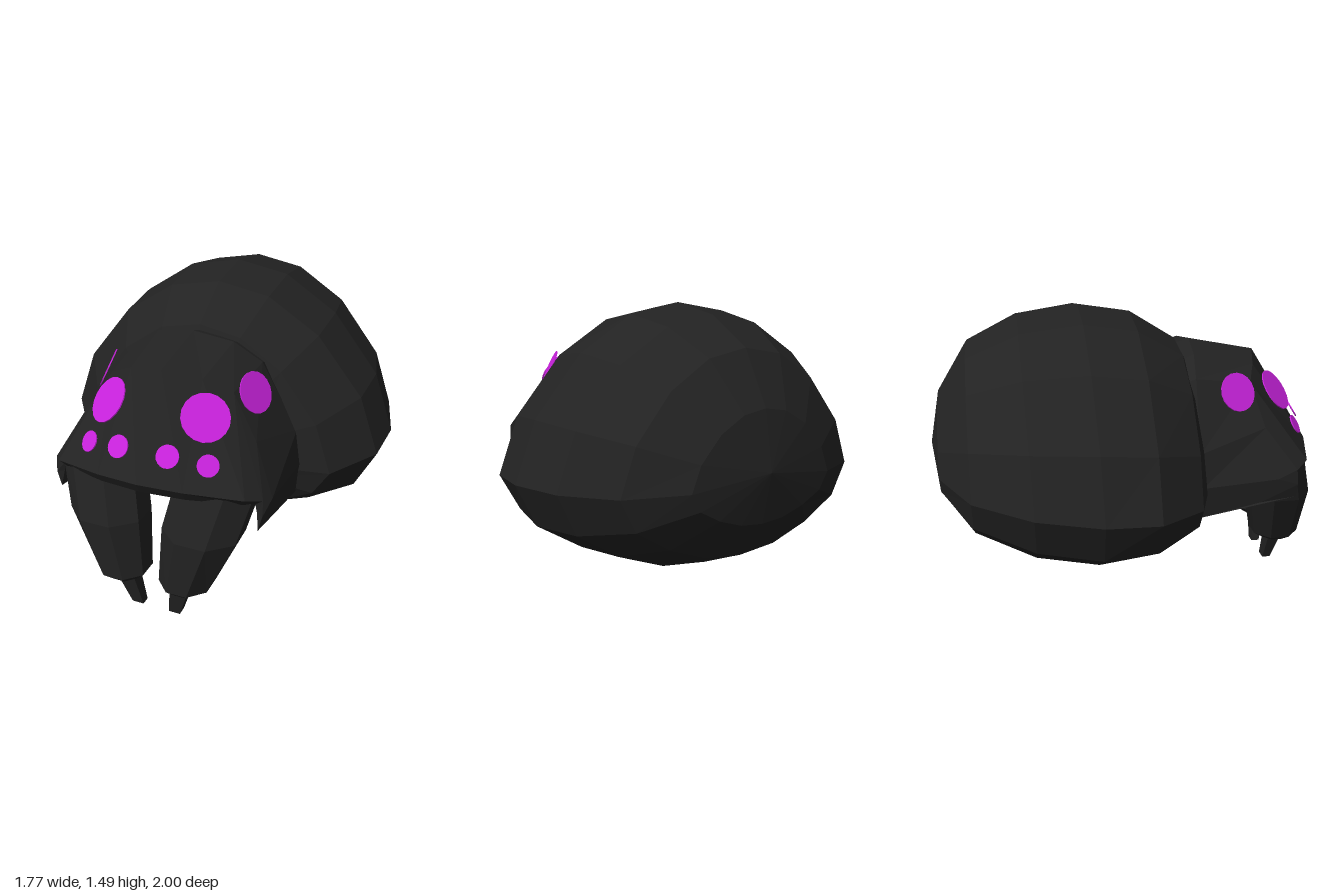
import * as THREE from 'three';

// Faceted skin through a list of equal-length rings of [x, y, z]
function loft(rings, closed) {
  const pos = [], n = rings[0].length;
  for (let i = 0; i < rings.length - 1; i++) {
    for (let j = 0; j < (closed ? n : n - 1); j++) {
      const k = (j + 1) % n;
      const a = rings[i][j], b = rings[i][k], c = rings[i + 1][k], d = rings[i + 1][j];
      pos.push(...a, ...d, ...c, ...a, ...c, ...b);
    }
  }
  const g = new THREE.BufferGeometry();
  g.setAttribute('position', new THREE.Float32BufferAttribute(pos, 3));
  g.computeVertexNormals();
  return g;
}

// Horizontal ring with given sides; row is [y, centre x, radius x, centre z, radius z]
function flatRing([y, cx, rx, cz, rz], sides, side) {
  const k = 1 / Math.cos(Math.PI / sides);
  return Array.from({ length: sides }, (_, j) => {
    const a = (j + 0.5) / sides * Math.PI * 2;
    return [side * cx + rx * k * Math.cos(a), y, cz + rz * k * Math.sin(a)];
  });
}

export function createModel() {
  const model = new THREE.Group();
  const black = new THREE.MeshStandardMaterial({ color: 0x222222 });
  const shell = new THREE.MeshStandardMaterial({ color: 0x222222, side: THREE.DoubleSide });
  black.name = 'black';
  shell.name = 'black shell';
  const magenta = new THREE.MeshStandardMaterial({ color: 0xc822dc });
  magenta.name = 'magenta';
  const add = (geometry, material, name, parent = model) => {
    const m = new THREE.Mesh(geometry, material);
    m.name = name;
    parent.add(m);
    return m;
  };

  // Abdomen: half section as [width, height] fractions, scaled along z
  const half = [[0, 1], [0.305, 0.94], [0.61, 0.73], [0.88, 0.367], [1, 0],
    [0.88, -0.437], [0.61, -0.738], [0.305, -0.94], [0, -1]];
  const section = [...half, ...half.slice(1, -1).reverse().map(([x, y]) => [-x, y])];
  // z at top, z at bottom, half width, top, widest height, bottom
  const stations = [
    [-1, -1, 0, 0.78, 0.78, 0.78],
    [-0.945, -0.945, 0.38, 1.06, 0.725, 0.53],
    [-0.79, -0.79, 0.64, 1.31, 0.70, 0.33],
    [-0.53, -0.49, 0.81, 1.44, 0.675, 0.19],
    [-0.22, -0.18, 0.887, 1.485, 0.655, 0.14],
    [0.05, 0.08, 0.87, 1.44, 0.64, 0.19],
    [0.29, 0.31, 0.69, 1.29, 0.61, 0.32],
    [0.42, 0.42, 0.38, 1.02, 0.65, 0.5],
    [0.46, 0.46, 0, 0.75, 0.75, 0.75],
  ];
  add(loft(stations.map(([zt, zb, w, top, mid, bot]) => section.map(([x, y]) => [
    x * w,
    mid + y * (y > 0 ? top - mid : mid - bot),
    THREE.MathUtils.lerp(zb, zt, (y + 1) / 2),
  ])), true), black, 'abdomen');

  // Head: half arches from centre line to lower edge, rear to brow to lip to underside
  const arches = [
    [[0, 1.24, 0.22], [0.2, 1.2, 0.22], [0.33, 1.12, 0.22], [0.5, 0.83, 0.22], [0.53, 0.66, 0.25], [0.52, 0.5, 0.25]],
    [[0, 1.285, 0.37], [0.2, 1.25, 0.35], [0.34, 1.16, 0.33], [0.52, 0.83, 0.32], [0.55, 0.66, 0.33], [0.53, 0.49, 0.32]],
    [[0, 1.215, 0.72], [0.18, 1.18, 0.67], [0.31, 1.12, 0.62], [0.44, 0.92, 0.67], [0.54, 0.68, 0.72], [0.53, 0.555, 0.64]],
    [[0, 0.78, 0.998], [0.21, 0.77, 0.97], [0.47, 0.745, 0.89], [0.53, 0.72, 0.82], [0.53, 0.64, 0.83], [0.51, 0.565, 0.83]],
    [[0, 0.725, 0.965], [0.21, 0.72, 0.94], [0.45, 0.705, 0.86], [0.49, 0.69, 0.81], [0.5, 0.64, 0.81], [0.51, 0.565, 0.83]],
    [[0, 0.5, 0.3], [0.2, 0.5, 0.3], [0.44, 0.5, 0.3], [0.48, 0.5, 0.3], [0.5, 0.5, 0.3], [0.53, 0.49, 0.32]],
  ];
  add(loft(arches.map(h => [
    ...h.slice(1).reverse().map(([x, y, z]) => [-x, y, z]), ...h,
  ]), false), shell, 'head');

  // Eyes: centre, outward direction, radius; mirrored to both sides
  const eyes = [
    ['sideEye', [0.37, 1.09, 0.53], [0.84, 0.44, 0.31], 0.098],
    ['frontEye', [0.235, 1.045, 0.77], [0.46, 0.6, 0.66], 0.112],
    ['innerSmallEye', [0.12, 0.9, 0.91], [0.13, 0.53, 0.84], 0.053],
    ['outerSmallEye', [0.29, 0.87, 0.87], [0.4, 0.53, 0.75], 0.05],
  ];
  const up = new THREE.Vector3(0, 1, 0);
  // Jaws and fangs, listed from the tip upwards
  const jaw = [
    [0.165, 0.16, 0, 0.86, 0], [0.165, 0.16, 0.07, 0.86, 0.07], [0.21, 0.167, 0.125, 0.852, 0.123],
    [0.5, 0.243, 0.183, 0.82, 0.16], [0.74, 0.3, 0.19, 0.76, 0.15],
  ];
  const fang = [[0, 0.1, 0, 0.843, 0], [0, 0.1, 0.03, 0.843, 0.022], [0.2, 0.15, 0.05, 0.865, 0.037]];

  for (const [side, label] of [[1, 'left'], [-1, 'right']]) {
    const group = new THREE.Group();
    group.name = label + 'Jaw';
    model.add(group);
    add(loft(jaw.map(r => flatRing(r, 8, side)), true), black, 'jawBase', group);
    add(loft(fang.map(r => flatRing(r, 4, side)), true), black, 'fang', group);

    for (const [name, c, d, r] of eyes) {
      const n = new THREE.Vector3(side * d[0], d[1], d[2]).normalize();
      const eye = add(new THREE.CylinderGeometry(r, r, 0.006, 18), magenta, label + '_' + name);
      eye.position.set(side * c[0], c[1], c[2]).addScaledVector(n, 0.015);
      eye.quaternion.setFromUnitVectors(up, n);
    }
  }
  return model;
}
